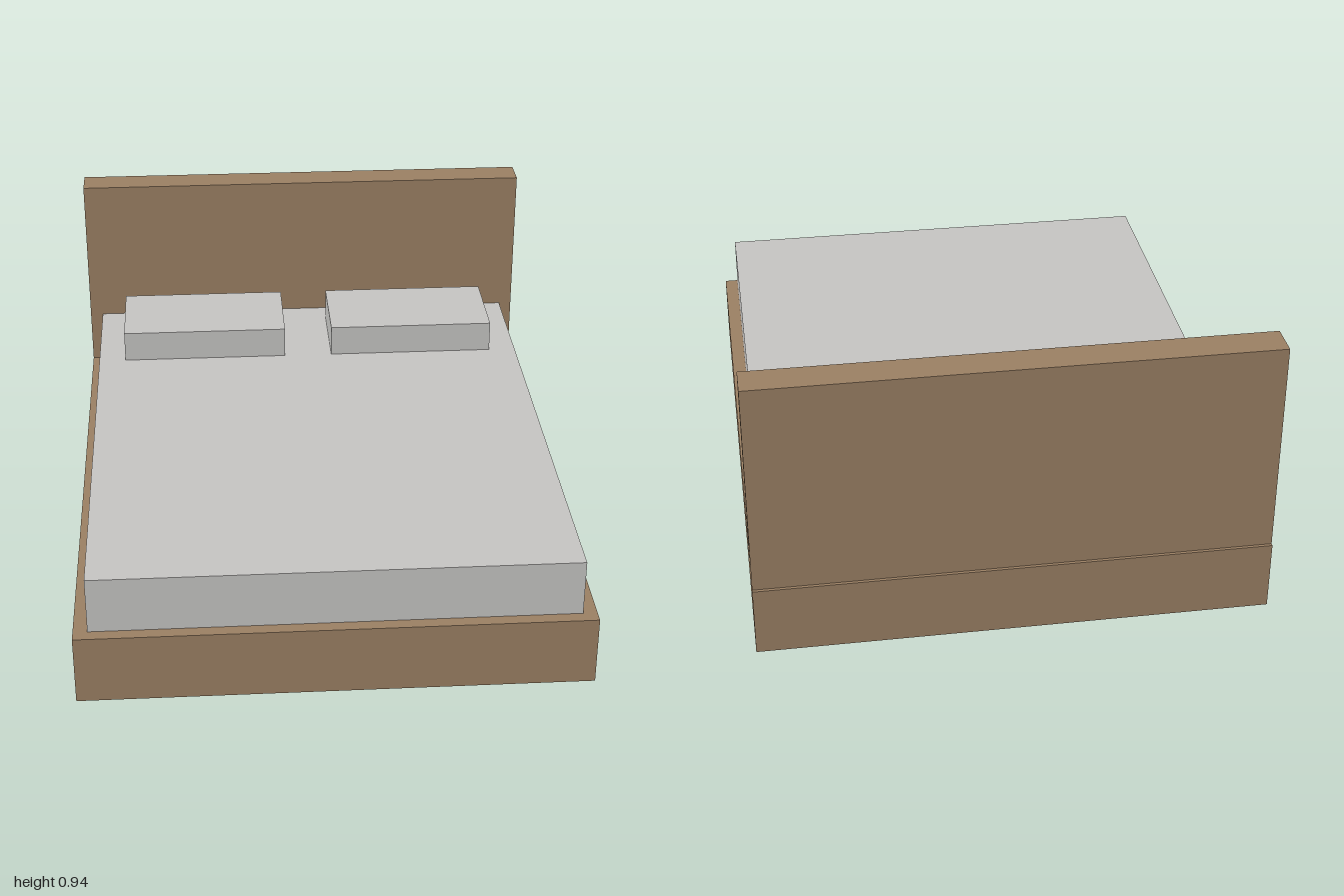
import * as THREE from 'three';

export function createModel() {
  const bed = new THREE.Group();
  bed.name = 'bed';

  const wood = new THREE.MeshStandardMaterial({ color: 0x9b8064 });
  wood.name = 'wood';
  const linen = new THREE.MeshStandardMaterial({ color: 0xc6c5c3 });
  linen.name = 'linen';

  // Adds a box given its extents along each axis
  function addBox(name, material, [x0, x1], [y0, y1], [z0, z1]) {
    const mesh = new THREE.Mesh(new THREE.BoxGeometry(x1 - x0, y1 - y0, z1 - z0), material);
    mesh.position.set((x0 + x1) / 2, (y0 + y1) / 2, (z0 + z1) / 2);
    mesh.name = name;
    bed.add(mesh);
  }

  const baseTop = 0.23;
  const mattressTop = 0.417;

  // Solid base and the headboard standing on its back edge
  addBox('base', wood, [-0.81, 0.81], [0, baseTop], [-1, 1]);
  addBox('headboard', wood, [-0.81, 0.81], [baseTop, 0.935], [-0.99, -0.88]);

  // Mattress, inset from the base edges
  addBox('mattress', linen, [-0.765, 0.765], [baseTop, mattressTop], [-0.88, 0.96]);

  // Pair of pillows
  addBox('leftPillow', linen, [0.085, 0.67], [mattressTop, 0.525], [-0.805, -0.485]);
  addBox('rightPillow', linen, [-0.67, -0.085], [mattressTop, 0.525], [-0.805, -0.485]);

  return bed;
}
